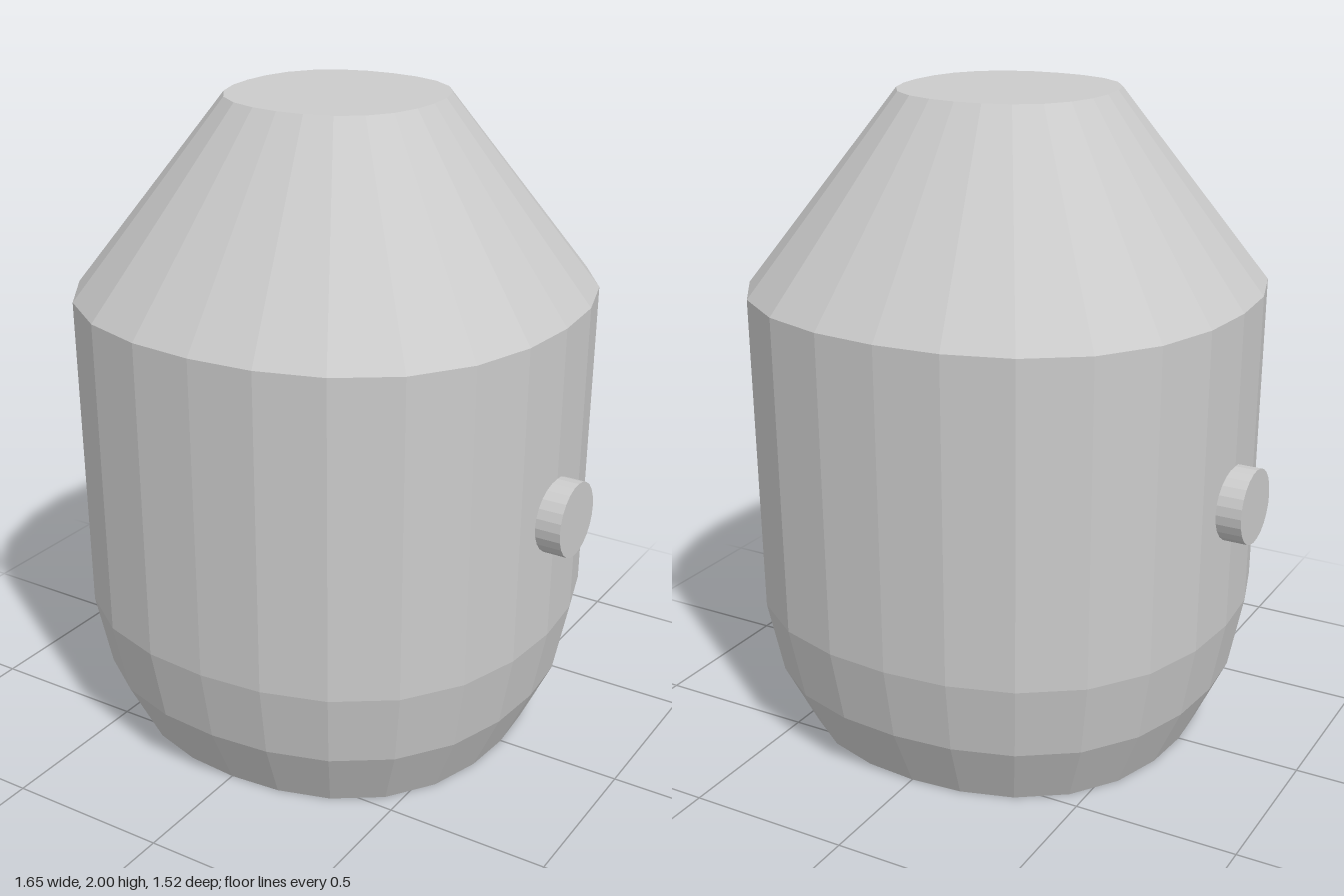
import * as THREE from 'three';

const material = new THREE.MeshStandardMaterial({ color: 0xcccccc, flatShading: true });

// Turned 24-sided form whose cross-section bulges slightly towards the diagonals
function squaredLathe(profile) {
  const points = profile.map(([r, y]) => new THREE.Vector2(r, y));
  const geometry = new THREE.LatheGeometry(points, 24);
  const pos = geometry.attributes.position;
  for (let i = 0; i < pos.count; i++) {
    const x = pos.getX(i), z = pos.getZ(i);
    const k = 1 + 0.05 * Math.sin(2 * Math.atan2(z, x)) ** 2;
    pos.setX(i, x * k);
    pos.setZ(i, z * k);
  }
  geometry.computeVertexNormals();
  return geometry;
}

export function createModel() {
  const model = new THREE.Group();
  model.name = 'canister';

  // Body: recessed base, rounded lower edge, straight wall, conical shoulder, flat top
  const body = new THREE.Mesh(squaredLathe([
    [0, 0.08], [0.52, 0.08], [0.52, 0], [0.61, 0], [0.705, 0.2],
    [0.75, 0.43], [0.76, 1.415], [0.32, 2], [0, 2],
  ]), material);
  body.name = 'body';
  model.add(body);

  // Round pegs on both sides
  for (const side of [1, -1]) {
    const peg = new THREE.Mesh(new THREE.CylinderGeometry(0.115, 0.115, 0.14, 24), material);
    peg.name = side > 0 ? 'leftPeg' : 'rightPeg';
    peg.rotation.z = Math.PI / 2;
    peg.position.set(side * 0.753, 0.835, 0);
    model.add(peg);
  }
  return model;
}
